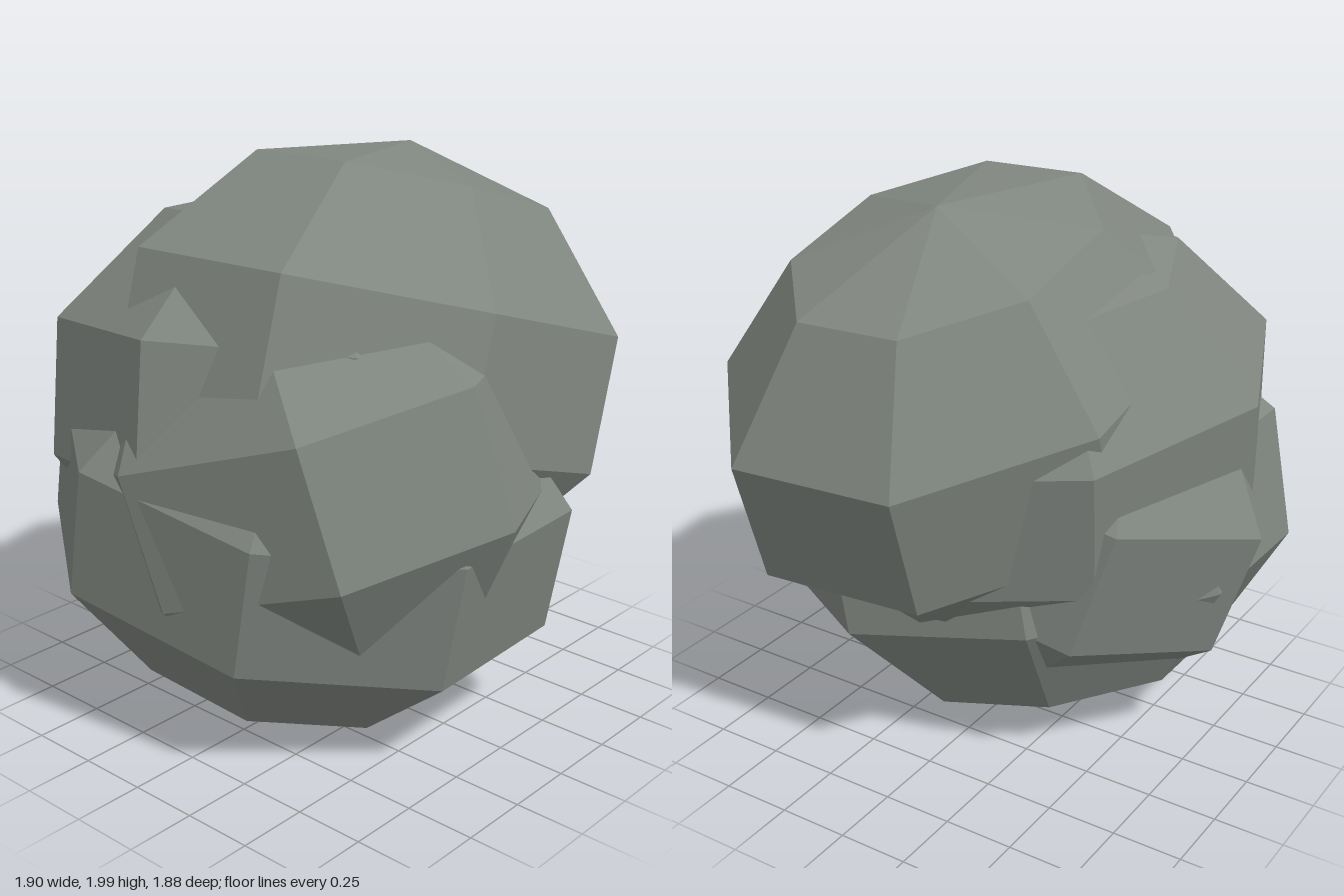
import * as THREE from 'three';

// A boulder made of four overlapping faceted ellipsoids of one shape, each tilted differently.
const SIZE = new THREE.Vector3(0.957, 0.77, 0.768);

// centre, long axis and pole axis of each lump
const LUMPS = [
  { name: 'upperLump', centre: [0.076, 1.254, 0.077], long: [0.884, -0.275, 0.379], pole: [0.308, 0.953, -0.027] },
  { name: 'baseLump', centre: [-0.182, 0.763, -0.002], long: [0.47, -0.165, 0.867], pole: [-0.029, 0.973, 0.2] },
  { name: 'frontLump', centre: [-0.178, 0.92, 0], long: [-0.088, 0.28, 0.956], pole: [-0.095, 0.953, -0.287] },
  { name: 'backLump', centre: [-0.05, 1.13, -0.045], long: [-0.757, 0.08, -0.648], pole: [0.157, 0.983, -0.063] },
];

function makeLump({ name, centre, long, pole }, material) {
  // square the two axes up into a rotation
  const x = new THREE.Vector3(...long).normalize();
  const z = x.clone().cross(new THREE.Vector3(...pole)).normalize();
  const y = z.clone().cross(x);

  const sphere = new THREE.SphereGeometry(1, 8, 5);
  sphere.scale(SIZE.x, SIZE.y, SIZE.z);
  sphere.applyMatrix4(new THREE.Matrix4().makeBasis(x, y, z));

  // one normal per facet
  const geometry = sphere.toNonIndexed();
  geometry.computeVertexNormals();

  const mesh = new THREE.Mesh(geometry, material);
  mesh.name = name;
  mesh.position.set(...centre);
  return mesh;
}

export function createModel() {
  const stone = new THREE.MeshStandardMaterial({ color: 0x808680 });
  stone.name = 'stone grey';

  const boulder = new THREE.Group();
  boulder.name = 'boulder';
  for (const lump of LUMPS) boulder.add(makeLump(lump, stone));

  // rest it on the ground
  const box = new THREE.Box3().setFromObject(boulder);
  for (const lump of boulder.children) lump.position.y -= box.min.y;
  return boulder;
}
